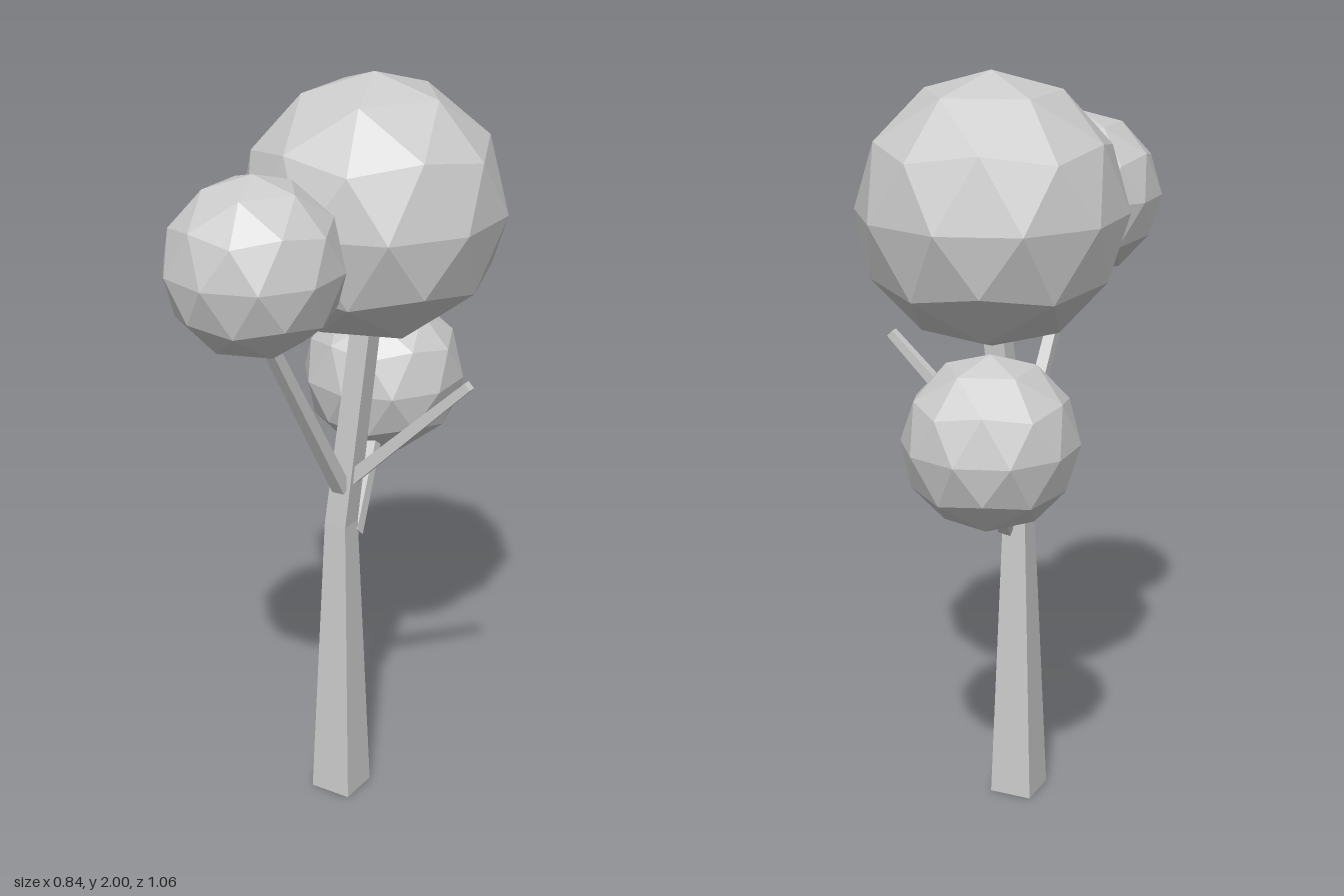
import * as THREE from 'three';

const material = new THREE.MeshStandardMaterial({ color: 0xcccccc, flatShading: true });
const TURN = THREE.MathUtils.degToRad(14);

function addMesh(group, name, geometry) {
  const mesh = new THREE.Mesh(geometry, material);
  mesh.name = name;
  group.add(mesh);
  return mesh;
}

// Square trunk: each row of the prism is moved to its own centre and radius
function trunkGeometry() {
  const rows = [
    { x: 0, y: 0, z: 0.02, r: 0.083 },
    { x: 0, y: 0.82, z: 0.02, r: 0.045 },
    { x: 0.076, y: 1.5, z: 0.02, r: 0.039 },
  ];
  const geometry = new THREE.CylinderGeometry(1, 1, 1, 4, 2).rotateY(TURN);
  const p = geometry.attributes.position;
  for (let i = 0; i < p.count; i++) {
    const row = rows[Math.round((p.getY(i) + 0.5) * 2)];
    p.setXYZ(i, row.x + p.getX(i) * row.r, row.y, row.z + p.getZ(i) * row.r);
  }
  geometry.computeVertexNormals();
  return geometry;
}

// Tapered square branch between two points
function addBranch(group, name, from, to, rBase, rTip) {
  const a = new THREE.Vector3(...from);
  const b = new THREE.Vector3(...to);
  const dir = b.clone().sub(a);
  const geometry = new THREE.CylinderGeometry(rTip, rBase, dir.length(), 4).rotateY(TURN);
  const mesh = addMesh(group, name, geometry);
  mesh.position.copy(a).add(b).multiplyScalar(0.5);
  mesh.quaternion.setFromUnitVectors(new THREE.Vector3(0, 1, 0), dir.normalize());
}

// Faceted ball of leaves with a corner pointing straight up
function addFoliage(group, name, centre, radius) {
  const geometry = new THREE.IcosahedronGeometry(radius, 1);
  geometry.rotateX(-Math.atan((1 + Math.sqrt(5)) / 2));
  geometry.rotateY(THREE.MathUtils.degToRad(-12));
  addMesh(group, name, geometry).position.set(...centre);
}

export function createModel() {
  const tree = new THREE.Group();
  tree.name = 'tree';

  addMesh(tree, 'trunk', trunkGeometry());

  addBranch(tree, 'frontBranch', [0, 0.93, 0.045], [-0.19, 1.48, 0.32], 0.026, 0.02);
  addBranch(tree, 'bareBranch', [0.03, 0.955, 0.03], [0.32, 1.28, 0.195], 0.025, 0.016);
  addBranch(tree, 'backBranch', [0.035, 0.78, 0], [0.105, 1.05, -0.25], 0.024, 0.02);

  addFoliage(tree, 'crownFoliage', [0.08, 1.655, -0.085], 0.345);
  addFoliage(tree, 'frontFoliage', [-0.2, 1.622, 0.307], 0.223);
  addFoliage(tree, 'backFoliage', [0.11, 1.125, -0.307], 0.223);

  return tree;
}
